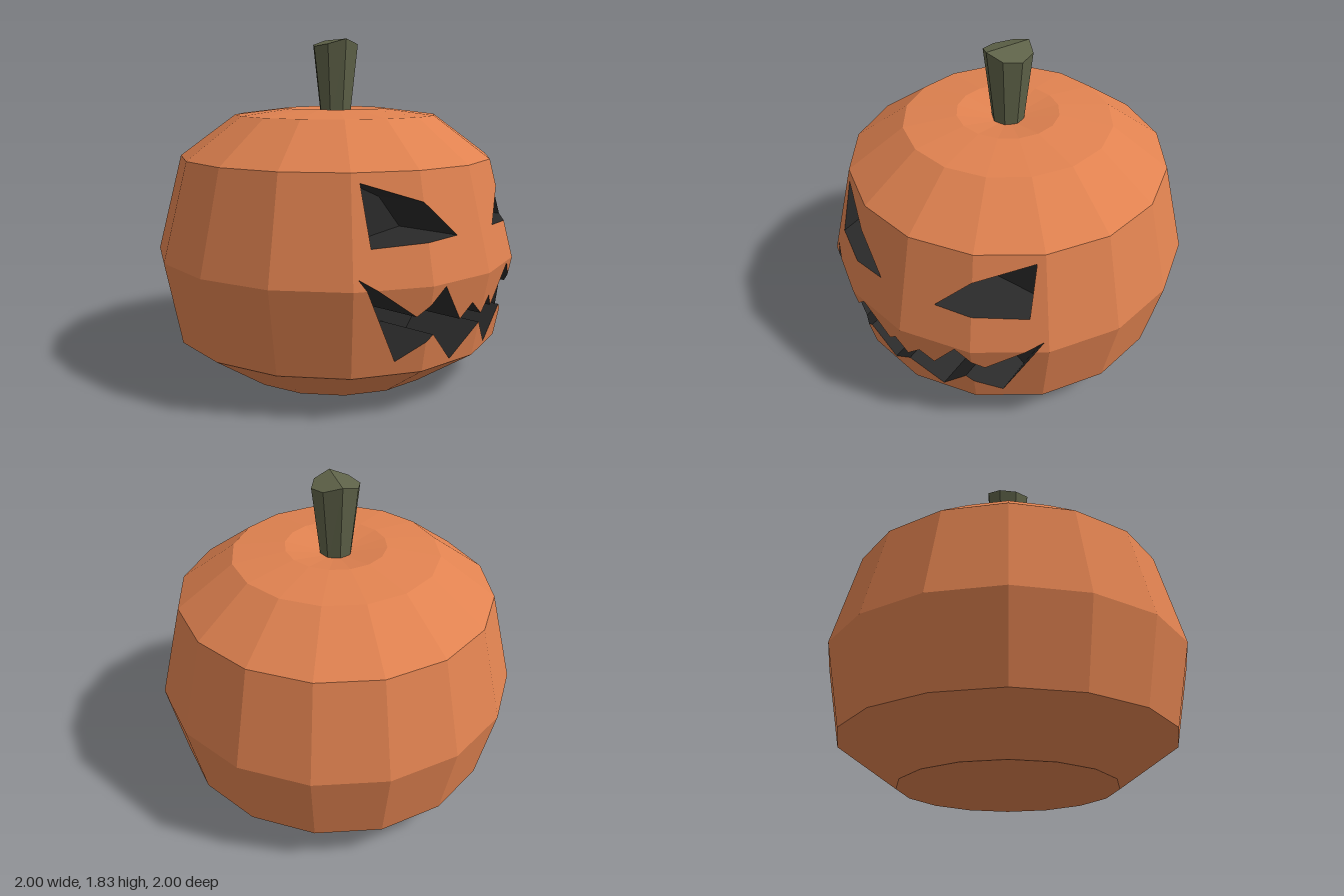
import * as THREE from 'three';

const SIDES = 16;
const STEP = (Math.PI * 2) / SIDES;
const RECESS_Z = 0.57; // back plane of the carved eyes and mouth

// Body profile from the underside to the dip around the stem: [radius, y]
const PROFILE = [
  [0, 0.03], [0.3, 0.03], [0.585, 0], [0.912, 0.225], [1, 0.67],
  [0.865, 1.195], [0.56, 1.42], [0.275, 1.455], [0, 1.4],
];
const FACE_RINGS = [3, 4]; // bands that carry the face

// Carved outlines in the front plane
const EYE = [[0.585, 1.147], [0.343, 1.05], [0.17, 0.877], [0.6, 0.854]];
const MOUTH_TOP = [[0.677, 0.724], [0.425, 0.52], [0.297, 0.655], [0.15, 0.457], [0.08, 0.53]];
const MOUTH_LOW = [[0.167, 0.247], [0.32, 0.413], [0.477, 0.295]];
const mirror = (pts) => pts.map(([x, y]) => [-x, y]).reverse();
const CUTS = [
  { name: 'leftEyeRecess', pts: EYE },
  { name: 'rightEyeRecess', pts: mirror(EYE) },
  {
    name: 'mouthRecess',
    pts: [...MOUTH_TOP, [0, 0.457], ...mirror(MOUTH_TOP), ...mirror(MOUTH_LOW), [0, 0.408], ...MOUTH_LOW],
  },
];

function ringPoint(ring, k) {
  const [r, y] = PROFILE[ring];
  return [r * Math.sin(k * STEP), y, r * Math.cos(k * STEP)];
}

// Faceted front surface: depth at a point of the front plane
function surfaceZ(x, y) {
  const i = y < PROFILE[4][1] ? 3 : 4;
  const [r0, y0] = PROFILE[i];
  const [r1, y1] = PROFILE[i + 1];
  const apothem = (r0 + ((r1 - r0) * (y - y0)) / (y1 - y0)) * Math.cos(STEP / 2);
  return Math.min(...[-1.5, -0.5, 0.5, 1.5].map((k) =>
    (apothem - x * Math.sin(k * STEP)) / Math.cos(k * STEP)));
}

function contains(pts, x, y) {
  let inside = false;
  pts.forEach(([ax, ay], i) => {
    const [bx, by] = pts[(i + 1) % pts.length];
    if (ay > y !== by > y && x < ax + ((bx - ax) * (y - ay)) / (by - ay)) inside = !inside;
  });
  return inside;
}

const yAt = ([a, b], x) => a[1] + ((b[1] - a[1]) * (x - a[0])) / (b[0] - a[0]);

// All x values where segments start, end or cross
function slabEdges(segments) {
  const xs = segments.flatMap(([a, b]) => [a[0], b[0]]);
  segments.forEach((s, i) => segments.slice(i + 1).forEach((t) => {
    const lo = Math.max(s[0][0], t[0][0]);
    const hi = Math.min(s[1][0], t[1][0]);
    if (hi <= lo) return;
    const d0 = yAt(s, lo) - yAt(t, lo);
    const d1 = yAt(s, hi) - yAt(t, hi);
    if (d0 * d1 < 0) xs.push(lo + ((hi - lo) * d0) / (d0 - d1));
  }));
  xs.sort((a, b) => a - b);
  return xs.filter((x, i) => i === 0 || x - xs[i - 1] > 1e-6);
}

// Splits the front of the body into skin, recess backs and recess walls
function carveFace(skin, recesses) {
  const segments = [];
  const add = (a, b) => {
    if (Math.abs(a[0] - b[0]) > 1e-6) segments.push(a[0] < b[0] ? [a, b] : [b, a]);
  };
  for (let k = -2; k <= 2; k++) {
    for (const ring of FACE_RINGS) add(ringPoint(ring, k), ringPoint(ring + 1, k));
    if (k < 2) for (const ring of [3, 4, 5]) add(ringPoint(ring, k), ringPoint(ring, k + 1));
  }
  for (const { pts } of CUTS) pts.forEach((p, i) => add(p, pts[(i + 1) % pts.length]));

  const xs = slabEdges(segments);
  for (let i = 0; i + 1 < xs.length; i++) {
    const [x0, x1] = [xs[i], xs[i + 1]];
    const mid = (x0 + x1) / 2;
    const lines = segments.filter(([a, b]) => a[0] < mid && b[0] > mid)
      .sort((s, t) => yAt(s, mid) - yAt(t, mid));
    let below = -1;
    for (let j = 0; j + 1 < lines.length; j++) {
      const [lo, hi] = [lines[j], lines[j + 1]];
      const flat = [[x0, yAt(lo, x0)], [x1, yAt(lo, x1)], [x1, yAt(hi, x1)], [x0, yAt(hi, x0)]];
      const cy = (yAt(lo, mid) + yAt(hi, mid)) / 2;
      const cut = CUTS.findIndex((c) => contains(c.pts, mid, cy));
      const front = flat.map(([x, y]) => [x, y, surfaceZ(x, y)]);
      const back = flat.map(([x, y]) => [x, y, RECESS_Z]);
      if (cut < 0) skin.push(front);
      else recesses[cut].push(back);
      // Wall wherever the carving starts or stops
      if (cut !== below) recesses[Math.max(cut, below)].push([front[0], front[1], back[1], back[0]]);
      below = cut;
    }
  }
}

function quadMesh(name, quads, material) {
  const positions = [];
  const area = new THREE.Triangle();
  for (const q of quads) {
    const v = q.map((p) => new THREE.Vector3(...p));
    for (const [a, b, c] of [[0, 1, 2], [0, 2, 3]]) {
      if (area.set(v[a], v[b], v[c]).getArea() < 1e-9) continue;
      positions.push(...q[a], ...q[b], ...q[c]);
    }
  }
  const geometry = new THREE.BufferGeometry();
  geometry.setAttribute('position', new THREE.Float32BufferAttribute(positions, 3));
  geometry.computeVertexNormals();
  const mesh = new THREE.Mesh(geometry, material);
  mesh.name = name;
  return mesh;
}

// Eight-sided stem flaring upwards, its top folded along a ridge
function buildStem() {
  const height = 0.45;
  const geometry = new THREE.CylinderGeometry(0.13, 0.083, height, 8, 1, false, Math.PI / 8);
  geometry.translate(0, 1.83 - height / 2, 0);
  const p = geometry.attributes.position;
  for (let i = 0; i < p.count; i++) {
    if (p.getY(i) > 1.8) p.setY(i, 1.83 - 0.3 * Math.abs(p.getX(i) * 0.924 + p.getZ(i) * 0.383));
  }
  const stem = new THREE.Mesh(geometry, new THREE.MeshStandardMaterial({ color: 0x5f6349, flatShading: true }));
  stem.name = 'stem';
  return stem;
}

export function createModel() {
  const model = new THREE.Group();
  model.name = 'carvedPumpkin';
  const skinMaterial = new THREE.MeshStandardMaterial({ color: 0xe08250, flatShading: true });
  const recessMaterial = new THREE.MeshStandardMaterial({
    color: 0x2a2a2a, flatShading: true, side: THREE.DoubleSide,
  });

  // Body bands, leaving the face area to be carved
  const skin = [];
  for (let ring = 0; ring + 1 < PROFILE.length; ring++) {
    for (let k = -8; k < 8; k++) {
      if (FACE_RINGS.includes(ring) && k >= -2 && k < 2) continue;
      skin.push([ringPoint(ring, k), ringPoint(ring, k + 1), ringPoint(ring + 1, k + 1), ringPoint(ring + 1, k)]);
    }
  }
  const recesses = CUTS.map(() => []);
  carveFace(skin, recesses);

  model.add(quadMesh('body', skin, skinMaterial));
  CUTS.forEach((c, i) => model.add(quadMesh(c.name, recesses[i], recessMaterial)));
  model.add(buildStem());
  return model;
}
